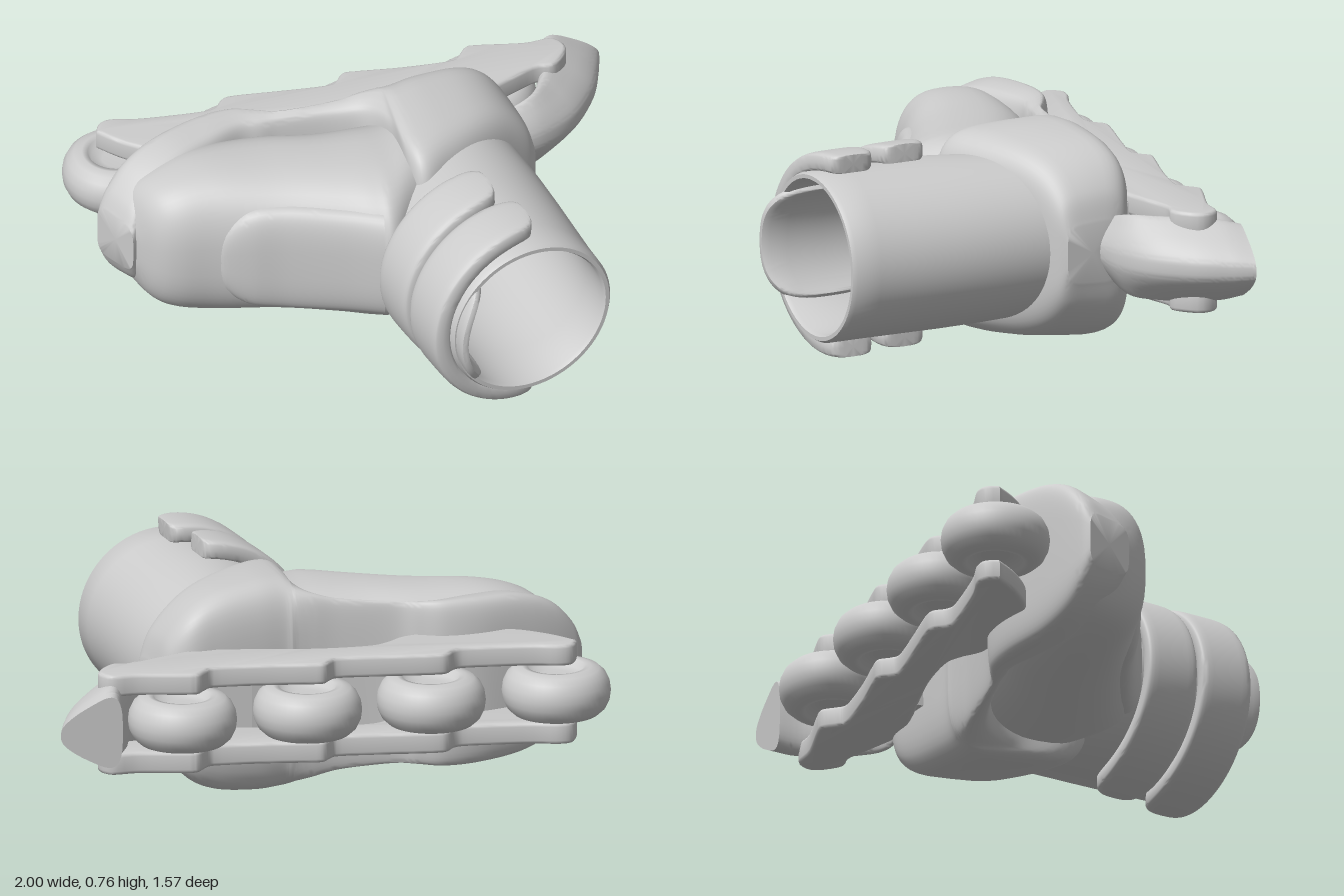
import * as THREE from 'three';
import { toCreasedNormals } from 'three/addons/utils/BufferGeometryUtils.js';

const V = (x, y, z) => new THREE.Vector3(x, y, z);
const spow = (v, p) => Math.sign(v) * Math.abs(v) ** p;
const mat = new THREE.MeshStandardMaterial({ color: 0xcccccc, side: THREE.DoubleSide });

function add(group, name, geometry) {
  const m = new THREE.Mesh(geometry, mat);
  m.name = name;
  group.add(m);
  return m;
}

// Closed skin over a row of closed rings, capped at both ends, facing outward
function loft(rings, crease = 0.7) {
  const n = rings[0].length, pts = rings.flat(), idx = [];
  for (let i = 0; i < rings.length - 1; i++)
    for (let j = 0; j < n; j++) {
      const a = i * n + j, b = i * n + (j + 1) % n;
      idx.push(a, b, a + n, b, b + n, a + n);
    }
  [0, rings.length - 1].forEach((r, end) => {
    const c = pts.length;
    pts.push(rings[r].reduce((s, p) => s.add(p), V(0, 0, 0)).divideScalar(n));
    for (let j = 0; j < n; j++) {
      const a = r * n + j, b = r * n + (j + 1) % n;
      idx.push(c, ...(end ? [a, b] : [b, a]));
    }
  });
  let volume = 0;
  for (let i = 0; i < idx.length; i += 3)
    volume += pts[idx[i]].dot(V().crossVectors(pts[idx[i + 1]], pts[idx[i + 2]]));
  if (volume < 0) idx.reverse();
  const g = new THREE.BufferGeometry().setFromPoints(pts);
  g.setIndex(idx);
  return toCreasedNormals(g, crease);
}

// Smooth interpolation of every column of a station table
function smooth(stations, count) {
  const curves = stations[0].map((_, k) =>
    new THREE.SplineCurve(stations.map((s, i) => new THREE.Vector2(i, s[k]))));
  return Array.from({ length: count + 1 }, (_, i) => curves.map(c => c.getPoint(i / count).y));
}

// Body along the foot; station = [bottom x, bottom y, top x, top y, half width]
function body(stations, power, taper = 0, count = 60) {
  return loft(smooth(stations, count).map(([xb, yb, xt, yt, w]) =>
    Array.from({ length: 48 }, (_, j) => {
      const a = j / 48 * Math.PI * 2;
      const s = spow(Math.sin(a), 2 / power), c = spow(Math.cos(a), 2 / power);
      const t = (s + 1) / 2;
      return V(xb + (xt - xb) * t, yb + (yt - yb) * t, w * c * (1 - taper * t));
    })));
}

// Cuff cross-section at a height: [front x, back x, half width]
function cuffAt(y) {
  const k = THREE.MathUtils.clamp((y - 0.25) / 0.45, 0, 1);
  const low = THREE.MathUtils.clamp((0.2 - y) / 0.45, 0, 1);
  return [-0.1 + 0.07 * k + 0.08 * low, 0.555 + 0.025 * k - 0.05 * low, 0.3 - 0.03 * low];
}

// Point on the cuff; angle 0 is the front
function cuffPoint(y, a, off, topSlope = 0) {
  const [f, b, w] = cuffAt(y);
  const r = (b - f) / 2, x = (f + b) / 2 - (r + off) * Math.cos(a);
  return V(x, y - topSlope * (x - f) / (b - f), (w + off) * Math.sin(a));
}

// Padded band wrapped round the front of the cuff, with rounded ends
function band(yc, half, span, off, thick, drop, roundness) {
  const rings = [];
  for (let i = 0; i <= 64; i++) {
    const t = -Math.cos(i / 64 * Math.PI) * 0.9999, a = t * span;
    const e = (1 - Math.abs(t) ** roundness) ** (1 / roundness);
    rings.push(Array.from({ length: 24 }, (_, j) => {
      const q = j / 24 * Math.PI * 2;
      const h = half * e * spow(Math.sin(q), 0.4);
      const p = cuffPoint(yc + h, a, off + thick * spow(Math.cos(q), 0.4));
      p.y -= drop * (1 - Math.cos(a));
      return p;
    }));
  }
  return loft(rings, 0.9);
}

export function createModel() {
  const root = new THREE.Group();
  root.name = 'inlineSkate';
  // Modelled upright (toe to -x, wheels down), then laid on its side
  const skate = new THREE.Group();
  skate.name = 'skate';
  skate.rotation.x = Math.PI / 2;
  skate.position.y = 0.388;
  root.add(skate);

  // Foot of the boot
  add(skate, 'bootFoot', body([
    [-0.93, -0.25, -0.885, -0.12, 0.08], [-0.89, -0.33, -0.84, -0.05, 0.19],
    [-0.8, -0.36, -0.77, -0.005, 0.25], [-0.65, -0.4, -0.63, 0.035, 0.285],
    [-0.4, -0.4, -0.42, 0.115, 0.29], [-0.2, -0.35, -0.24, 0.2, 0.295],
    [-0.05, -0.34, -0.13, 0.265, 0.3], [0.05, -0.34, -0.07, 0.28, 0.3],
    [0.2, -0.34, 0.05, 0.18, 0.3], [0.4, -0.34, 0.3, 0, 0.25], [0.5, -0.33, 0.45, -0.1, 0.15],
  ], 2.6));

  // Raised instep panel
  add(skate, 'instepPanel', body([
    [-0.64, -0.05, -0.65, 0.02, 0.05], [-0.61, -0.05, -0.62, 0.046, 0.13],
    [-0.53, -0.05, -0.54, 0.083, 0.195], [-0.4, -0.02, -0.42, 0.125, 0.213],
    [-0.22, 0.05, -0.24, 0.21, 0.213], [-0.08, 0.1, -0.12, 0.28, 0.213],
  ], 3));

  // Sole and heel counter shell
  add(skate, 'soleShell', body([
    [-0.975, -0.31, -0.905, -0.13, 0.1], [-0.945, -0.335, -0.87, -0.15, 0.17],
    [-0.87, -0.37, -0.79, -0.19, 0.25], [-0.75, -0.41, -0.68, -0.23, 0.297],
    [-0.58, -0.455, -0.56, -0.28, 0.31], [-0.45, -0.457, -0.44, -0.33, 0.31],
    [-0.36, -0.42, -0.36, -0.33, 0.305], [-0.28, -0.38, -0.28, -0.325, 0.305],
    [-0.1, -0.36, -0.1, -0.28, 0.32], [0, -0.36, 0, -0.22, 0.345],
    [0.06, -0.365, 0.035, -0.08, 0.365], [0.08, -0.37, 0.035, 0.1, 0.38],
    [0.11, -0.37, 0.08, 0.165, 0.39], [0.2, -0.385, 0.2, 0.105, 0.39],
    [0.35, -0.405, 0.35, 0.01, 0.365], [0.45, -0.41, 0.46, -0.06, 0.31],
    [0.52, -0.38, 0.545, -0.11, 0.215], [0.55, -0.34, 0.578, -0.14, 0.11],
  ], 4.5, 0.1, 110));

  // Hollow cuff: outer wall up, rim, inner wall down
  const walls = [[-0.25, 0], [-0.1, 0], [0.1, 0], [0.25, 0], [0.4, 0], [0.55, 0], [0.715, 0],
    [0.73, -0.008], [0.73, -0.022], [0.715, -0.03], [0.5, -0.03], [0.25, -0.03], [-0.05, -0.03]];
  add(skate, 'cuff', loft(walls.map(([y, off]) =>
    Array.from({ length: 72 }, (_, j) =>
      cuffPoint(y, j / 72 * Math.PI * 2, off, y > 0.6 ? 0.075 : 0)))));

  // Tongue rising behind the cuff front, and the two straps
  add(skate, 'tongue', band(0.55, 0.235, 0.85, -0.03, 0.018, 0, 3));
  add(skate, 'lowerStrap', band(0.395, 0.1, 1.55, 0.03, 0.035, 0.06, 7));
  add(skate, 'upperStrap', band(0.615, 0.1, 1.66, 0.03, 0.035, 0.06, 7));

  // Frame rails
  const outline = [
    [-0.875, -0.61], [-0.85, -0.655], [-0.8, -0.665], [-0.7, -0.635], [-0.5, -0.605], [-0.44, -0.61],
    [-0.4, -0.65], [-0.35, -0.655], [-0.2, -0.63], [-0.03, -0.605], [0.01, -0.62], [0.045, -0.655],
    [0.1, -0.65], [0.25, -0.62], [0.42, -0.6], [0.46, -0.62], [0.5, -0.66], [0.55, -0.655],
    [0.7, -0.615], [0.8, -0.61], [0.83, -0.54], [0.76, -0.46], [0.69, -0.465], [0.58, -0.425],
    [0.45, -0.385], [0.3, -0.405], [0.16, -0.44], [0, -0.475], [-0.16, -0.485], [-0.23, -0.46],
    [-0.32, -0.405], [-0.5, -0.4], [-0.68, -0.42], [-0.8, -0.51],
  ].map(p => new THREE.Vector2(...p));
  const curve = new THREE.SplineCurve([...outline, outline[0]]);
  const railShape = new THREE.Shape(curve.getPoints(140).slice(0, -1));
  for (const [name, side] of [['leftRail', -1], ['rightRail', 1]]) {
    const g = new THREE.ExtrudeGeometry(railShape, {
      depth: 0.05, bevelSize: 0.012, bevelOffset: -0.012, bevelThickness: 0.014, bevelSegments: 3 });
    g.translate(0, 0, side * 0.142 - 0.025);
    add(skate, name, toCreasedNormals(g, 0.6));
  }

  // Mounts joining the rails to the sole
  for (const [name, x, w] of [['frontMount', -0.52, 0.34], ['rearMount', 0.37, 0.26]])
    add(skate, name, new THREE.BoxGeometry(w, 0.045, 0.3)).position.set(x, -0.388, 0);

  // Heel brake with a keeled back
  add(skate, 'heelBrake', body([
    [0.48, -0.34, 0.5, -0.26, 0.13], [0.62, -0.365, 0.66, -0.285, 0.18],
    [0.685, -0.45, 0.8, -0.355, 0.188], [0.72, -0.54, 0.91, -0.48, 0.188],
    [0.76, -0.62, 0.97, -0.6, 0.18], [0.78, -0.69, 1, -0.68, 0.16],
  ], 3.2, 0.72));

  // Wheels with recessed hubs
  const half = [[0.19, 0], [0.186, 0.03], [0.172, 0.06], [0.15, 0.08], [0.12, 0.088],
    [0.1, 0.085], [0.088, 0.06], [0.05, 0.055], [0, 0.055]];
  const profile = [...half.slice(1).reverse().map(([r, h]) => [r, -h]), ...half]
    .map(p => new THREE.Vector2(...p));
  [-0.805, -0.355, 0.09, 0.54].forEach((x, i) => {
    const wheel = add(skate, 'wheel' + (i + 1), new THREE.LatheGeometry(profile, 48));
    wheel.rotation.x = Math.PI / 2;
    wheel.position.set(x, -0.595, 0);
  });
  return root;
}
